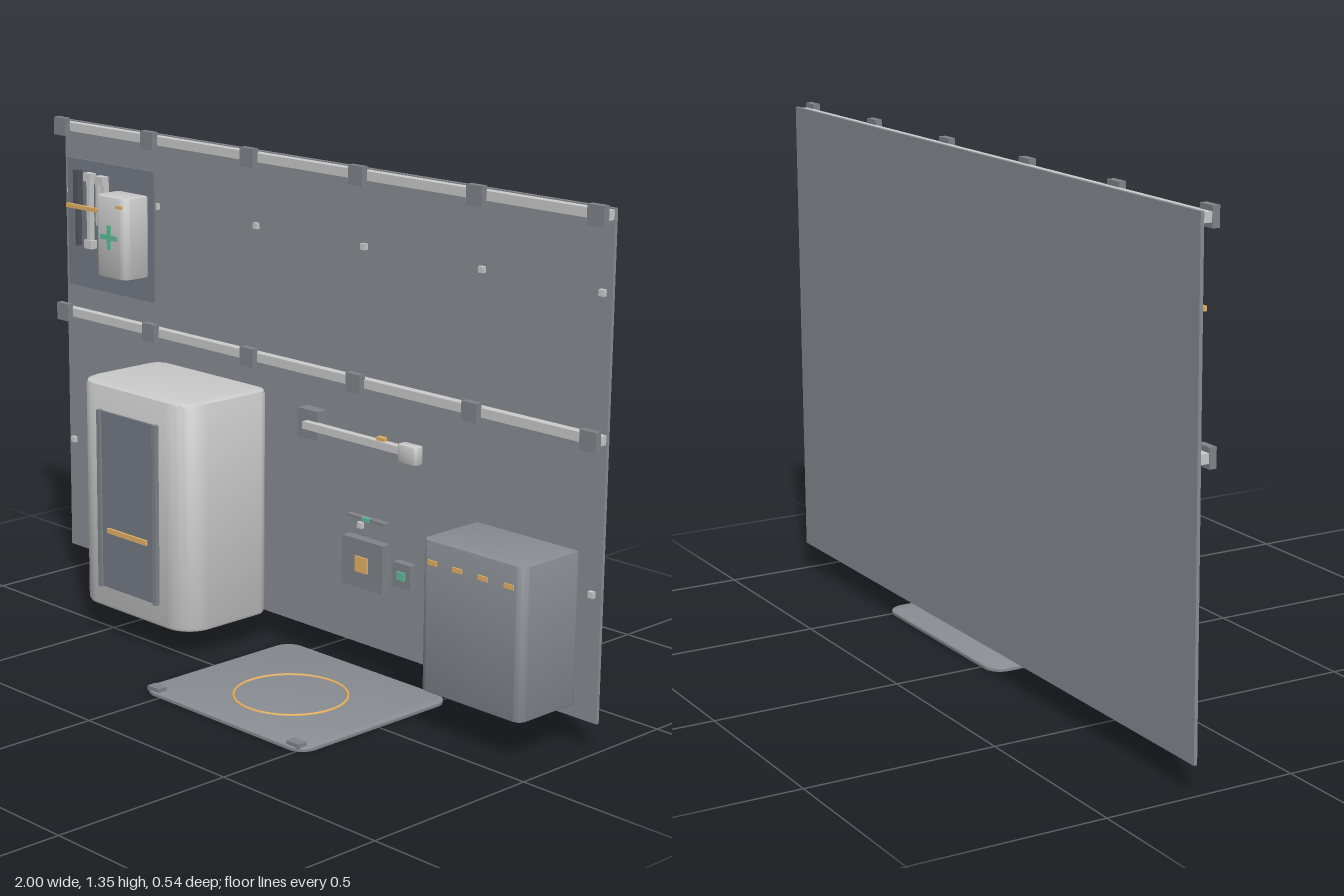
import * as THREE from 'three';
import { toCreasedNormals } from 'three/addons/utils/BufferGeometryUtils.js';

const mat = (color) => new THREE.MeshStandardMaterial({ color });
const M = {
  light: mat(0xcccccc), panel: mat(0x8a8e94), dark: mat(0x80848a), slate: mat(0x757b87),
  black: mat(0x50545a), amber: mat(0xe8b468), green: mat(0x62c09a),
};

export function createModel() {
  const root = new THREE.Group();

  const add = (parent, name, geometry, material) => {
    const mesh = new THREE.Mesh(geometry, material);
    mesh.name = name;
    parent.add(mesh);
    return mesh;
  };
  const group = (name) => {
    const g = new THREE.Group();
    g.name = name;
    root.add(g);
    return g;
  };
  // Box given by its limits on each axis
  const box = (parent, name, material, [x0, x1], [y0, y1], [z0, z1]) => {
    const mesh = add(parent, name, new THREE.BoxGeometry(x1 - x0, y1 - y0, z1 - z0), material);
    mesh.position.set((x0 + x1) / 2, (y0 + y1) / 2, (z0 + z1) / 2);
    return mesh;
  };
  // Upright block with rounded plan corners (front radius rf, back radius rb) and bevelled rims
  const block = (parent, name, material, [x0, x1], [y0, y1], [z0, z1], rf, rb, bevel) => {
    const w = (x1 - x0) / 2 - bevel, d = (z1 - z0) / 2 - bevel;
    const s = new THREE.Shape();
    s.absarc(w - rf, -d + rf, rf, -Math.PI / 2, 0);
    s.absarc(w - rb, d - rb, rb, 0, Math.PI / 2);
    s.absarc(-w + rb, d - rb, rb, Math.PI / 2, Math.PI);
    s.absarc(-w + rf, -d + rf, rf, Math.PI, Math.PI * 1.5);
    const g = new THREE.ExtrudeGeometry(s, {
      depth: y1 - y0 - 2 * bevel, curveSegments: 6, bevelEnabled: bevel > 0,
      bevelSize: bevel, bevelThickness: bevel, bevelSegments: 2,
    });
    g.rotateX(-Math.PI / 2);
    g.translate((x0 + x1) / 2, y0 + bevel, (z0 + z1) / 2);
    return add(parent, name, toCreasedNormals(g, 0.5), material);
  };

  // Wall panel with studs
  const wall = group('wall');
  box(wall, 'wallPanel', M.panel, [-1, 1], [0.075, 1.335], [-0.27, -0.261]);
  const columns = [-0.975, -0.6, -0.2, 0.2, 0.6, 0.975];
  for (const y of [0.4, 1.135])
    for (const x of columns)
      box(wall, 'stud', M.light, [x - 0.008, x + 0.008], [y - 0.008, y + 0.008], [-0.261, -0.25]);

  // Two horizontal rails held by clamps
  for (const y of [0.785, 1.32]) {
    const rail = group('rail');
    box(rail, 'railBar', M.light, [-0.998, 0.998], [y - 0.012, y + 0.012], [-0.262, -0.237]);
    for (const x of columns)
      box(rail, 'railClamp', M.dark, [x - 0.025, x + 0.025], [y - 0.025, y + 0.025], [-0.239, -0.22]);
  }

  // Tool board
  const board = group('toolBoard');
  box(board, 'boardPlate', M.slate, [-0.955, -0.585], [0.87, 1.235], [-0.238, -0.231]);
  box(board, 'toolStrap', M.amber, [-0.93, -0.765], [1.098, 1.11], [-0.212, -0.203]);
  // Driver
  box(board, 'driverShaft', M.black, [-0.904, -0.894], [0.99, 1.12], [-0.23, -0.215]);
  box(board, 'driverGrip', M.black, [-0.909, -0.889], [1.1, 1.205], [-0.231, -0.212]);
  // Spanner
  box(board, 'spannerShaft', M.light, [-0.85, -0.836], [1.0, 1.19], [-0.228, -0.212]);
  for (const y of [1.0, 1.19])
    box(board, 'spannerHead', M.light, [-0.858, -0.828], [y - 0.011, y + 0.013], [-0.23, -0.208]);
  // Pliers
  for (const x of [-0.802, -0.779])
    box(board, 'pliersLeg', M.light, [x - 0.006, x + 0.006], [1.06, 1.2], [-0.23, -0.21]);
  box(board, 'pliersHead', M.light, [-0.808, -0.773], [1.178, 1.2], [-0.23, -0.205]);
  box(board, 'pliersPivot', M.light, [-0.804, -0.777], [1.095, 1.12], [-0.23, -0.212]);

  // First aid case
  const kit = group('firstAidCase');
  block(kit, 'caseBody', M.light, [-0.73, -0.6], [0.94, 1.167], [-0.231, -0.14], 0.018, 0.008, 0.006);
  box(kit, 'crossUpright', M.green, [-0.672, -0.658], [1.02, 1.088], [-0.142, -0.136]);
  box(kit, 'crossArm', M.green, [-0.7, -0.63], [1.047, 1.061], [-0.142, -0.136]);
  box(kit, 'caseLatch', M.amber, [-0.635, -0.61], [1.138, 1.147], [-0.142, -0.136]);

  // Cabinet with framed door
  const cabinet = group('cabinet');
  block(cabinet, 'cabinetBody', M.light, [-0.597, -0.14], [0.075, 0.703], [-0.26, 0.047], 0.07, 0.035, 0.012);
  box(cabinet, 'cabinetDoor', M.slate, [-0.485, -0.255], [0.14, 0.633], [0.045, 0.054]);
  for (const x of [-0.483, -0.257])
    box(cabinet, 'doorStile', M.dark, [x - 0.007, x + 0.007], [0.138, 0.635], [0.045, 0.06]);
  box(cabinet, 'doorHandle', M.amber, [-0.45, -0.29], [0.297, 0.311], [0.052, 0.06]);

  // Swing arm with head
  const arm = group('swingArm');
  box(arm, 'armMount', M.dark, [-0.007, 0.067], [0.605, 0.683], [-0.262, -0.226]);
  box(arm, 'armBar', M.light, [0.03, 0.395], [0.635, 0.655], [-0.228, -0.207]);
  box(arm, 'armMarker', M.amber, [0.295, 0.32], [0.655, 0.665], [-0.225, -0.212]);
  block(arm, 'armHead', M.light, [0.385, 0.45], [0.62, 0.668], [-0.224, -0.193], 0.006, 0.006, 0.003);

  // Wall controls
  const controls = group('wallControls');
  box(controls, 'largeSwitch', M.dark, [0.158, 0.303], [0.24, 0.37], [-0.262, -0.232]);
  box(controls, 'largeSwitchButton', M.amber, [0.208, 0.252], [0.283, 0.325], [-0.234, -0.227]);
  box(controls, 'smallSwitch', M.dark, [0.335, 0.397], [0.272, 0.337], [-0.262, -0.238]);
  box(controls, 'smallSwitchButton', M.green, [0.352, 0.38], [0.293, 0.315], [-0.24, -0.234]);
  box(controls, 'indicatorStrip', M.dark, [0.16, 0.3], [0.419, 0.427], [-0.262, -0.244]);
  box(controls, 'indicatorLight', M.green, [0.217, 0.243], [0.418, 0.428], [-0.25, -0.242]);

  // Storage bin
  const bin = group('storageBin');
  block(bin, 'binBody', M.panel, [0.6, 0.93], [0.107, 0.498], [-0.262, -0.06], 0.02, 0.004, 0.004);
  for (let i = 0; i < 4; i++) {
    const x = 0.64 + i * 0.082;
    box(bin, 'binTab', M.amber, [x - 0.015, x + 0.015], [0.437, 0.449], [-0.063, -0.056]);
  }

  // Floor mat with ring and corner pads
  const floor = group('floorMat');
  block(floor, 'matPlate', M.panel, [-0.067, 0.528], [0, 0.011], [-0.258, 0.27], 0.045, 0.045, 0.003);
  const ring = add(floor, 'matRing', new THREE.TorusGeometry(0.147, 0.004, 6, 64), M.amber);
  ring.rotation.x = -Math.PI / 2;
  ring.position.set(0.231, 0.011, 0.022);
  for (const x of [-0.028, 0.489])
    box(floor, 'matPad', M.dark, [x - 0.021, x + 0.021], [0.008, 0.021], [0.236, 0.264]);

  return root;
}
